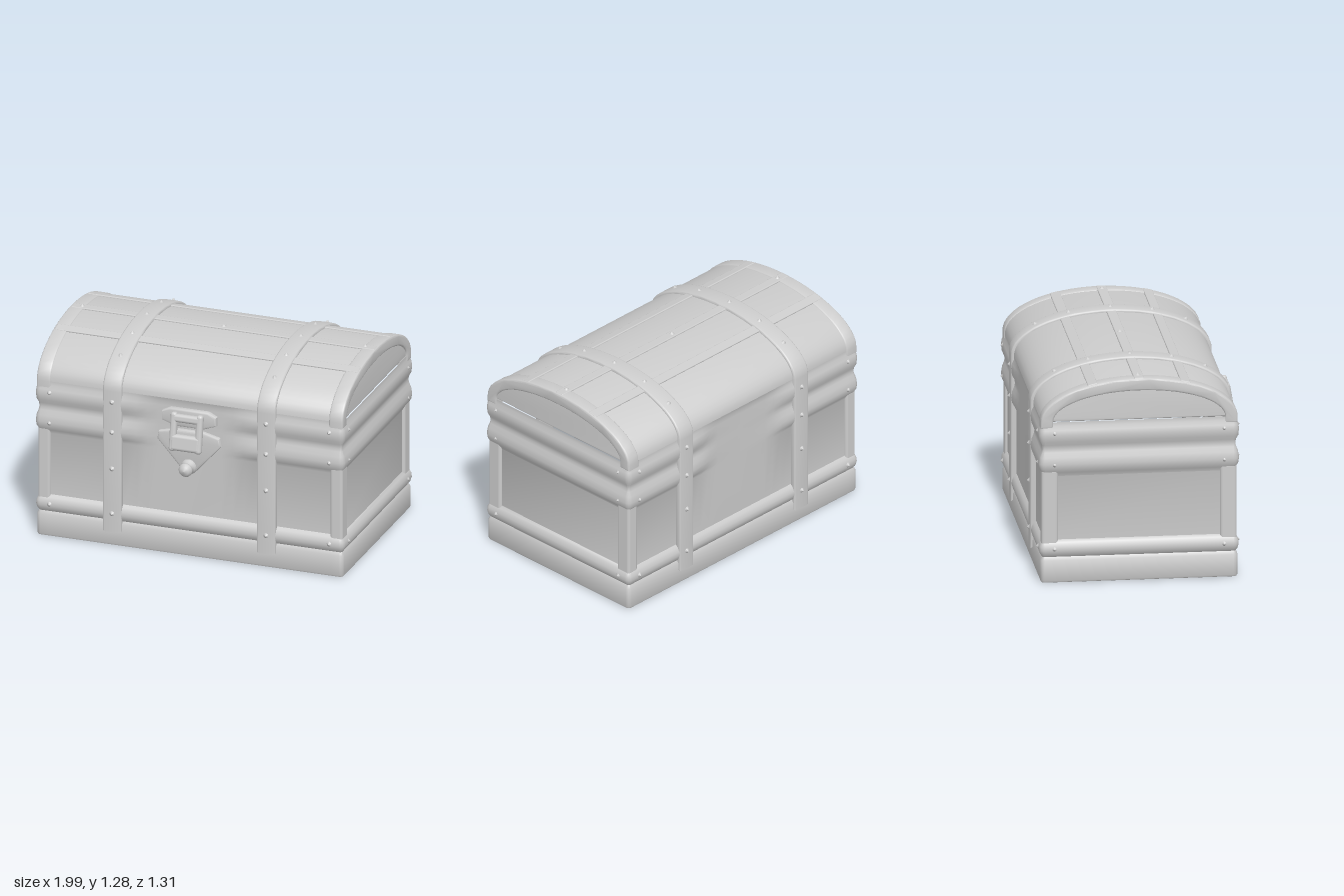
import * as THREE from 'three';
import { toCreasedNormals } from 'three/addons/utils/BufferGeometryUtils.js';
import { RoundedBoxGeometry } from 'three/addons/geometries/RoundedBoxGeometry.js';

const HX = 0.975, HZ = 0.592, SPRING = 1.0, RISE = 0.255;

// Arch points in (z, y), from front to back, offset outward by o
function arch(o, n = 32) {
  return Array.from({ length: n + 1 }, (_, i) => {
    const a = (i / n) * Math.PI;
    return new THREE.Vector2(Math.cos(a) * (HZ + o), SPRING + Math.sin(a) * (RISE + o));
  });
}

// Side profile extruded along x, centred on x = 0
function extrudeX(points, width, bevel) {
  const g = new THREE.ExtrudeGeometry(new THREE.Shape(points), {
    depth: width - 2 * bevel, bevelEnabled: true, bevelThickness: bevel,
    bevelSize: bevel, bevelOffset: -bevel, bevelSegments: 3,
  });
  g.translate(0, 0, -(width / 2 - bevel));
  g.rotateY(-Math.PI / 2);
  return toCreasedNormals(g, 0.6);
}

// Arched strip between two offsets, with legs down to y = bottom
function archStrip(inner, outer, bottom) {
  const leg = (o, s) => new THREE.Vector2(s * (HZ + o), bottom);
  return [leg(outer, 1), ...arch(outer), leg(outer, -1),
    leg(inner, -1), ...arch(inner).reverse(), leg(inner, 1)];
}

// Walls lofted from rounded rectangles; [height, outset]
function wallGeometry() {
  const levels = [[0, -0.015], [0.004, -0.005], [0.014, 0], [0.14, 0], [0.16, -0.012],
    [0.175, 0], [0.2, 0.008], [0.225, 0.006], [0.25, -0.006], [0.265, -0.022],
    [0.66, -0.022], [0.685, -0.008], [0.71, 0.006], [0.74, 0.01], [0.78, 0.004],
    [0.81, -0.008], [0.83, -0.012], [0.855, -0.008], [0.88, 0.006], [0.92, 0.01],
    [0.95, 0.006], [0.975, -0.006], [1.0, -0.006]];
  const r = 0.025, outline = [];
  const corner = (sx, sz, start) => {
    for (let i = 0; i <= 4; i++) {
      const a = start + (i / 4) * Math.PI / 2;
      outline.push([sx * (HX - r) + r * Math.cos(a), sz * (HZ - r) + r * Math.sin(a), Math.cos(a), Math.sin(a)]);
    }
  };
  const xs = [0.9, 0.42, 0.34, 0.27, 0.2, 0, -0.2, -0.27, -0.34, -0.42, -0.9];
  corner(1, 1, 0);
  xs.forEach(x => outline.push([x, HZ, 0, 1]));
  corner(-1, 1, Math.PI / 2);
  corner(-1, -1, Math.PI);
  xs.forEach(x => outline.push([-x, -HZ, 0, -1]));
  corner(1, -1, Math.PI * 1.5);

  const n = outline.length, pos = [], idx = [];
  for (const [y, out] of levels) {
    for (const [x, z, nx, nz] of outline) {
      // upper bands fade out in the middle of the front and back
      const fade = y > 0.6 && y < 0.99 && nx === 0 ? THREE.MathUtils.smoothstep(Math.abs(x), 0.2, 0.42) : 1;
      const o = THREE.MathUtils.lerp(-0.014, out, fade);
      pos.push(x + nx * o, y, z + nz * o);
    }
  }
  for (let j = 0; j < levels.length - 1; j++) {
    for (let i = 0; i < n; i++) {
      const a = j * n + i, b = j * n + (i + 1) % n;
      idx.push(a, a + n, b, b, a + n, b + n);
    }
  }
  const c = pos.length / 3;
  pos.push(0, 0, 0);
  for (let i = 0; i < n; i++) idx.push(c, i, (i + 1) % n);
  const g = new THREE.BufferGeometry();
  g.setAttribute('position', new THREE.Float32BufferAttribute(pos, 3));
  g.setIndex(idx);
  return toCreasedNormals(g, 0.7);
}

export function createModel() {
  const model = new THREE.Group();
  const chest = new THREE.Group();
  chest.name = 'chest';
  chest.position.z = -0.0375;
  model.add(chest);
  const grey = new THREE.MeshStandardMaterial({ color: 0xcccccc });
  grey.name = 'light grey';
  const add = (name, geo, x = 0, y = 0, z = 0, parent = chest) => {
    const m = new THREE.Mesh(geo, grey);
    m.name = name;
    m.position.set(x, y, z);
    parent.add(m);
    return m;
  };

  // Base walls and corner posts
  add('walls', wallGeometry());
  const post = new RoundedBoxGeometry(0.08, 0.48, 0.1, 3, 0.018);
  for (const sx of [-1, 1]) for (const sz of [-1, 1])
    add('cornerPost', post, sx * (HX - 0.045), 0.465, sz * (HZ - 0.055));

  // Lid with raised end rims and lengthwise slats
  add('lid', extrudeX(arch(-0.006), 2 * HX - 0.02, 0.008));
  const rim = extrudeX(archStrip(-0.075, 0, 0.96), 0.09, 0.012);
  for (const s of [-1, 1]) add('lidRim', rim, s * (HX - 0.045), 0, 0);
  const slat = new RoundedBoxGeometry(2 * HX - 0.02, 0.014, 0.06, 2, 0.006);
  for (const a of [1.08, 1.57, 2.06]) {
    const z = Math.cos(a) * HZ, y = SPRING + Math.sin(a) * RISE;
    add('lidSlat', slat, 0, y - 0.004, z).rotation.x = Math.atan2(Math.cos(a) * RISE, Math.sin(a) * HZ);
  }

  // Straps running up the front, over the lid and down the back
  const strap = extrudeX(archStrip(-0.03, 0.012, 0.09), 0.12, 0.012);
  for (const s of [-1, 1]) add('strap', strap, s * 0.49);

  // Rivets
  const rivet = new THREE.ConeGeometry(0.028, 0.026, 10);
  const up = new THREE.Vector3(0, 1, 0);
  const addRivet = (x, y, z, nx, ny, nz) =>
    add('rivet', rivet, x, y, z).quaternion.setFromUnitVectors(up, new THREE.Vector3(nx, ny, nz).normalize());
  for (const sx of [-1, 1]) {
    for (const sz of [-1, 1]) {
      for (const y of [0.21, 0.5, 0.735, 0.93]) addRivet(sx * 0.49, y, sz * (HZ + 0.014), 0, 0, sz);
      for (const y of [0.21, 0.735, 0.93]) {
        addRivet(sx * 0.89, y, sz * (HZ + 0.008), 0, 0, sz);
        addRivet(sx * (HX + 0.006), y, sz * 0.51, sx, 0, 0);
      }
    }
    for (const a of [0.72, 1.14, 1.57, 2.0, 2.42])
      addRivet(sx * 0.49, SPRING + Math.sin(a) * (RISE + 0.012), Math.cos(a) * (HZ + 0.012),
        0, Math.sin(a) / RISE, Math.cos(a) / HZ);
    addRivet(sx * 0.9, SPRING + RISE + 0.004, 0, 0, 1, 0);
  }
  addRivet(0, SPRING + RISE + 0.004, 0, 0, 1, 0);

  // Lock: plates, looped hasp and knob
  const lock = new THREE.Group();
  lock.name = 'lock';
  lock.position.z = HZ;
  chest.add(lock);
  const plate = points => {
    const g = new THREE.ExtrudeGeometry(new THREE.Shape(points.map(p => new THREE.Vector2(...p))),
      { depth: 0.035, bevelSize: 0.012, bevelThickness: 0.012, bevelOffset: -0.008, bevelSegments: 3 });
    return toCreasedNormals(g, 0.7);
  };
  add('upperPlate', plate([[-0.17, 0.87], [-0.09, 0.84], [0.09, 0.84], [0.17, 0.87], [0.17, 0.92],
    [0.12, 0.945], [-0.12, 0.945], [-0.17, 0.92]]), 0, 0, -0.03, lock);
  add('lowerPlate', plate([[-0.04, 0.56], [0.04, 0.56], [0.2, 0.74], [0.19, 0.785], [0.09, 0.81],
    [-0.09, 0.81], [-0.19, 0.785], [-0.2, 0.74]]), 0, 0, -0.035, lock);

  const hasp = new THREE.Group();
  hasp.name = 'hasp';
  hasp.position.set(0, 0.82, 0.055);
  hasp.rotation.x = -0.17;
  lock.add(hasp);
  const sideBar = new RoundedBoxGeometry(0.042, 0.24, 0.045, 4, 0.018);
  for (const s of [-1, 1]) add('haspSide', sideBar, s * 0.082, 0, 0, hasp);
  add('haspTop', new RoundedBoxGeometry(0.19, 0.05, 0.045, 4, 0.018), 0, 0.085, 0, hasp);
  add('haspBottom', new RoundedBoxGeometry(0.19, 0.1, 0.05, 4, 0.02), 0, -0.065, 0, hasp);

  const knob = new THREE.LatheGeometry([[0.05, 0], [0.045, 0.03], [0.028, 0.045], [0.042, 0.06],
    [0.042, 0.075], [0.028, 0.095], [0, 0.102]].map(p => new THREE.Vector2(...p)), 20);
  add('knob', knob, 0, 0.585, 0, lock).rotation.x = Math.PI / 2;

  return model;
}
